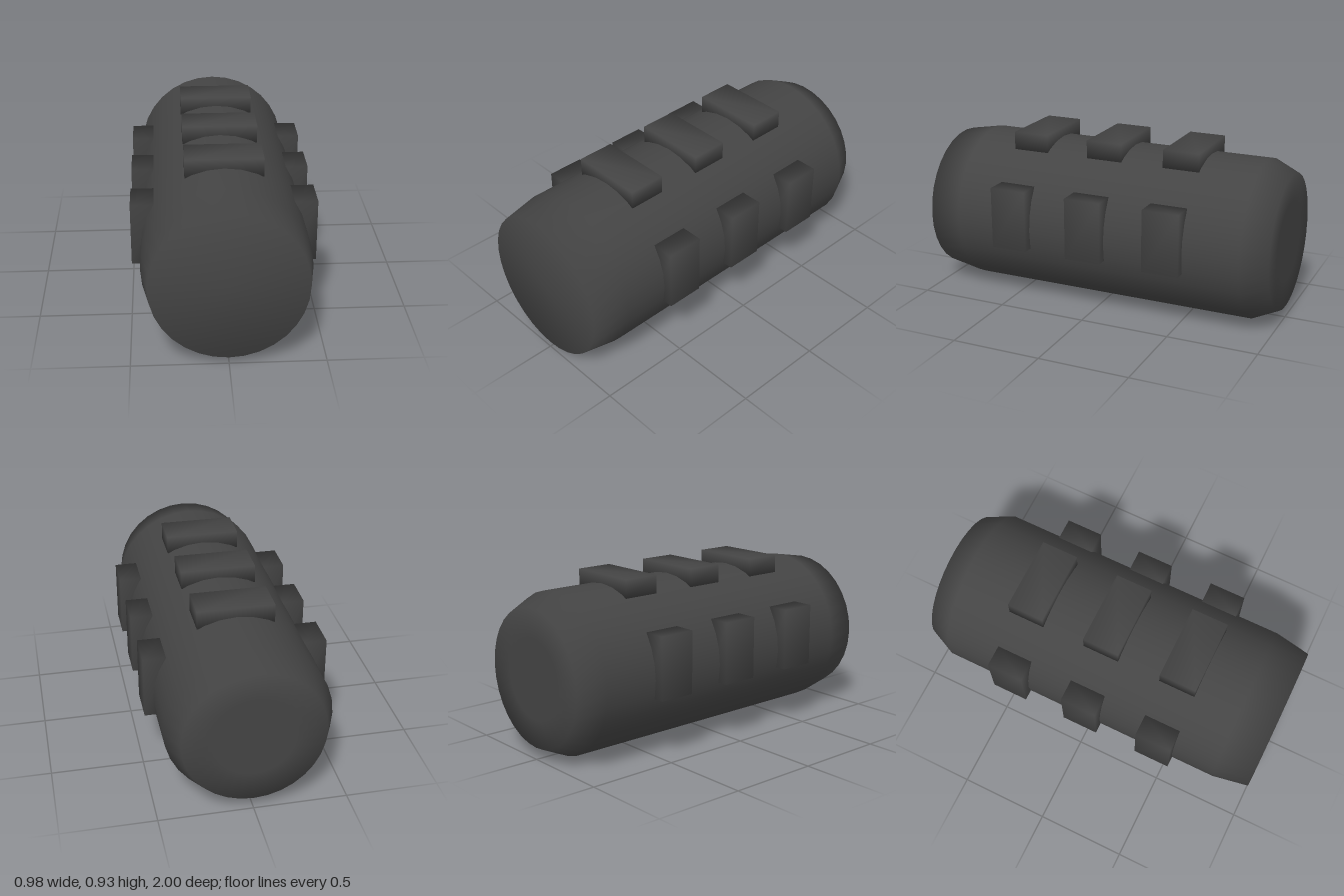
import * as THREE from 'three';
import { mergeVertices } from 'three/addons/utils/BufferGeometryUtils.js';

const R = 0.44;

// Box with shared corners, so that its shading is smooth
function softBox(w, h, d) {
  const box = new THREE.BoxGeometry(w, h, d);
  box.deleteAttribute('normal');
  box.deleteAttribute('uv');
  const geometry = mergeVertices(box);
  geometry.computeVertexNormals();
  return geometry;
}

export function createModel() {
  const model = new THREE.Group();
  model.name = 'ribbedCylinder';
  const charcoal = new THREE.MeshStandardMaterial({ color: 0x444444 });
  charcoal.name = 'charcoal';

  function add(name, geometry, x, y, z) {
    const mesh = new THREE.Mesh(geometry, charcoal);
    mesh.name = name;
    mesh.position.set(x, y, z);
    model.add(mesh);
  }

  // Body: turned profile from back to front, with a bevel at each end
  const profile = [
    [0, -1], [0.22, -1], [0.375, -1], [R, -0.86],
    [R, 0.8], [0.405, 1], [0, 1],
  ].map(([r, z]) => new THREE.Vector2(r, z));
  const body = new THREE.LatheGeometry(profile, 32);
  body.rotateX(Math.PI / 2);
  add('body', body, 0, R, 0);

  // Three rows of raised blocks: one on top and one on each side
  const topBlock = softBox(0.41, 0.1, 0.205);
  const sideBlock = softBox(0.123, 0.342, 0.205);
  for (const z of [-0.448, 0, 0.448]) {
    add('topBlock', topBlock, 0, 0.88, z);
    add('leftBlock', sideBlock, 0.428, 0.511, z);
    add('rightBlock', sideBlock, -0.428, 0.511, z);
  }
  return model;
}
